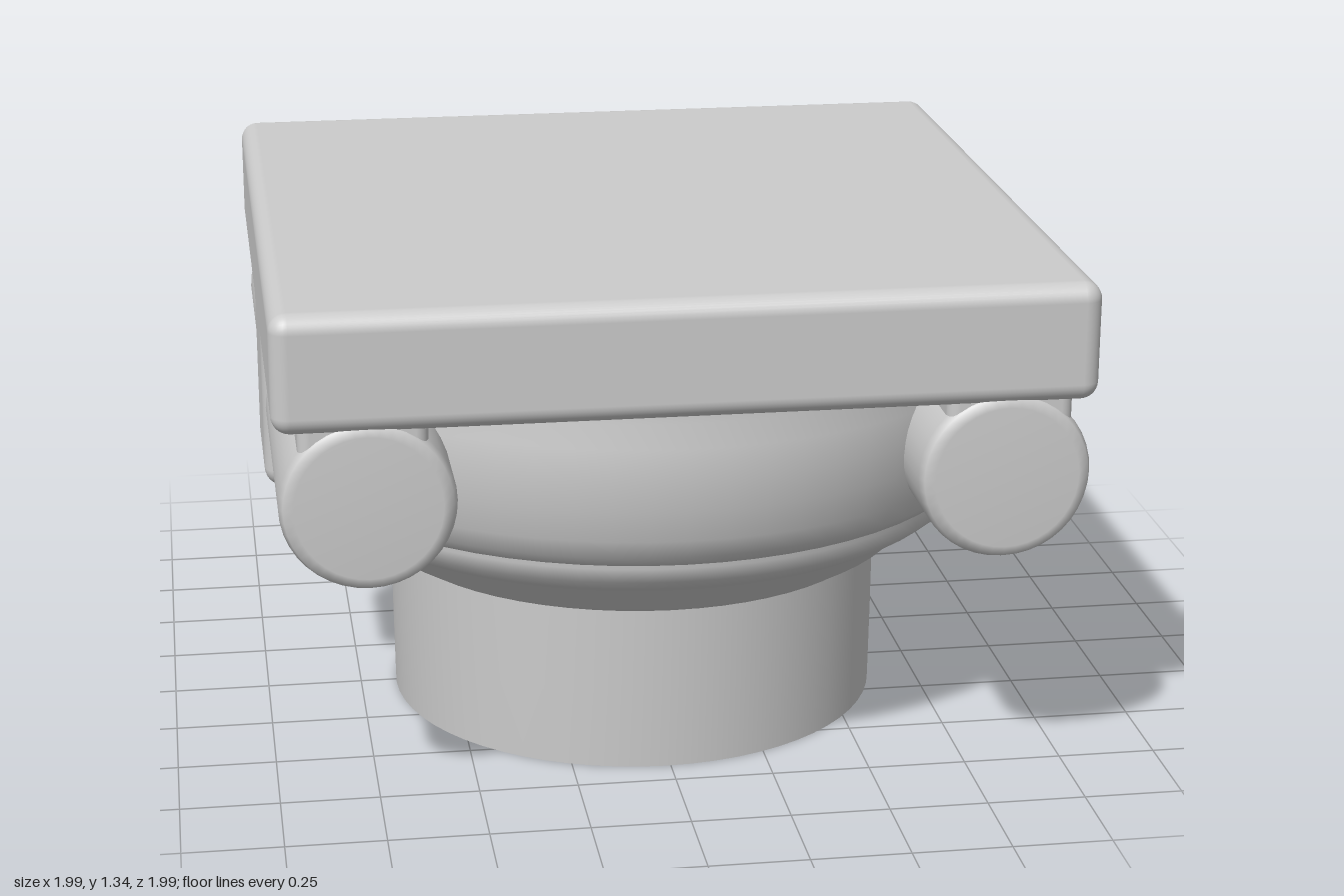
import * as THREE from 'three';
import { RoundedBoxGeometry } from 'three/addons/geometries/RoundedBoxGeometry.js';

const material = new THREE.MeshStandardMaterial({ color: 0xcccccc });

function add(group, name, geometry, x, y, z) {
  const mesh = new THREE.Mesh(geometry, material);
  mesh.name = name;
  mesh.position.set(x, y, z);
  group.add(mesh);
  return mesh;
}

// Revolved profile, listed as [radius, height] from bottom to top
function lathe(profile, segments) {
  return new THREE.LatheGeometry(profile.map(([r, y]) => new THREE.Vector2(r, y)), segments);
}

export function createModel() {
  const capital = new THREE.Group();
  capital.name = 'columnCapital';

  // Round stub of the column, with its flat underside
  add(capital, 'shaft', lathe([[0.645, 0], [0.648, 0.2], [0.65, 0.45]], 64), -0.01, 0, 0.02);
  const base = add(capital, 'shaftBase', new THREE.CircleGeometry(0.645, 64), -0.01, 0, 0.02);
  base.rotation.x = Math.PI / 2;

  // Stepped flare under the cushion
  add(capital, 'neckFlare', lathe([
    [0.64, 0.41], [0.67, 0.43], [0.72, 0.46], [0.78, 0.52], [0.85, 0.56],
    [0.885, 0.59], [0.9, 0.63], [0.9, 0.7],
  ], 64), 0, 0, 0);

  // Bulging cushion between the scrolls
  add(capital, 'cushion', lathe([
    [0.86, 0.625], [0.9, 0.64], [0.93, 0.67], [0.95, 0.72], [0.965, 0.8],
    [0.972, 0.88], [0.968, 0.96], [0.955, 1.02], [0.955, 1.08],
  ], 64), 0, 0, 0);

  // Square slab on top
  add(capital, 'abacus', new RoundedBoxGeometry(1.99, 0.295, 1.99, 4, 0.045), 0, 1.188, 0);

  // A scroll with softened ends along each side, tied by a central band
  const r = 0.213, half = 0.985, bevel = 0.035;
  const scrollProfile = [[0, -half], [r - bevel, -half], [r - 0.01, -half + 0.01], [r, -half + bevel],
    [r, half - bevel], [r - 0.01, half - 0.01], [r - bevel, half], [0, half]];
  for (const side of [-1, 1]) {
    const label = side > 0 ? 'left' : 'right';
    const scroll = add(capital, label + 'Scroll', lathe(scrollProfile, 40), side * 0.772, 0.855, 0);
    scroll.rotation.x = Math.PI / 2;
    add(capital, label + 'ScrollNeck', new RoundedBoxGeometry(0.31, 0.2, 1.94, 3, 0.03), side * 0.78, 1.02, 0);
    add(capital, label + 'Band', new RoundedBoxGeometry(0.45, 0.6, 0.42, 4, 0.05), side * 0.768, 0.935, 0);
  }
  return capital;
}
